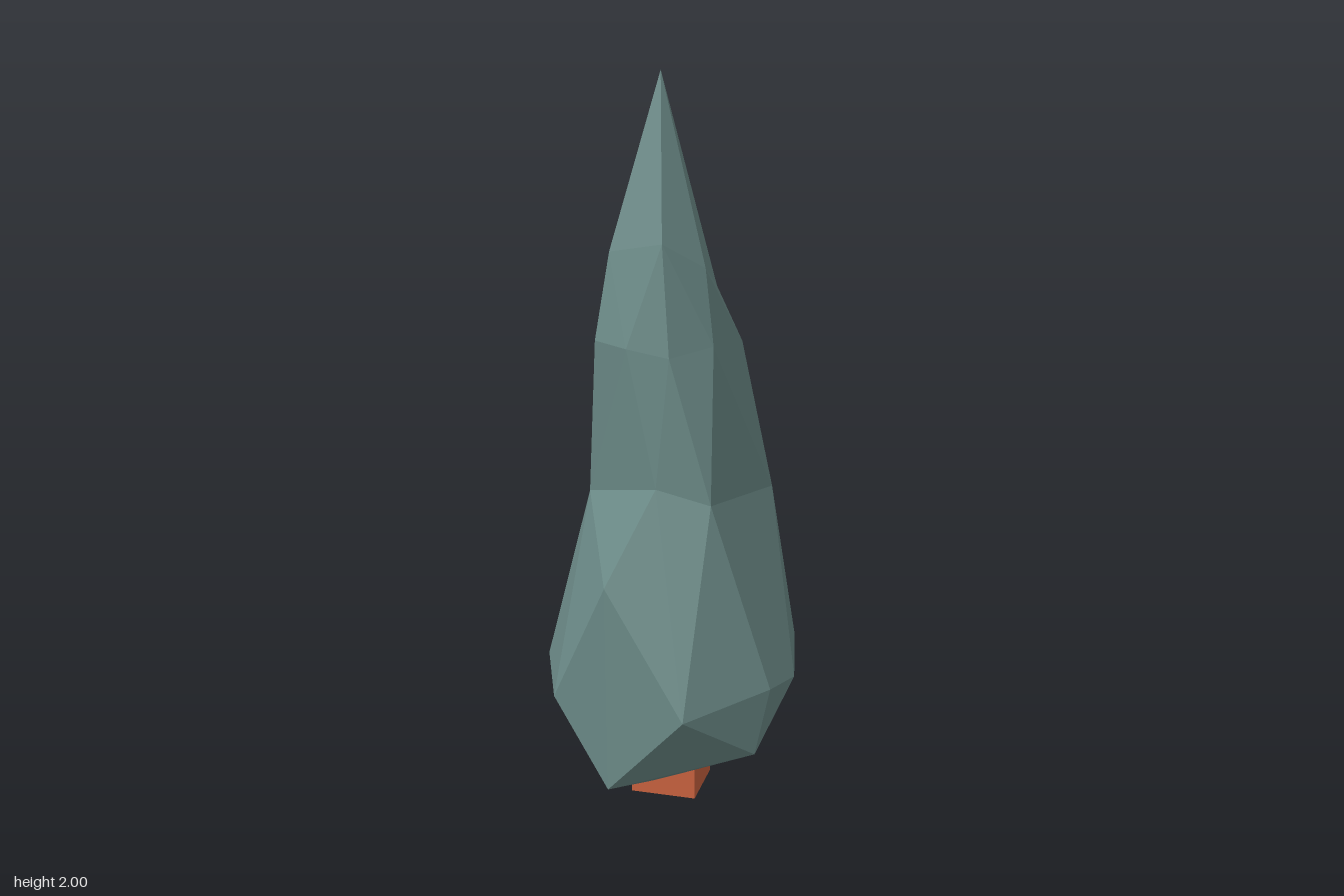
import * as THREE from 'three';

// Irregular foliage rings, bottom to top; each point is [x, y, z]
const RINGS = [
  [[-0.02, 0.035, 0.09]],
  [[0.275, 0.18, 0.148], [0.246, 0.21, -0.24], [-0.11, 0.18, -0.28], [-0.3, 0.16, 0.04], [-0.11, 0.08, 0.265]],
  [[0.355, 0.36, 0.005], [0.315, 0.4, -0.21], [0.1, 0.48, -0.337], [-0.135, 0.55, -0.32], [-0.265, 0.39, -0.163],
    [-0.355, 0.37, 0.043], [-0.27, 0.33, 0.243], [-0.11, 0.67, 0.28], [0.12, 0.335, 0.335], [0.315, 0.375, 0.145]],
  [[0.25, 0.86, -0.16], [0.205, 0.83, -0.29], [0.05, 0.89, -0.32], [-0.115, 0.83, -0.2], [-0.215, 0.87, -0.055],
    [-0.21, 0.88, 0.085], [0.01, 0.93, 0.2], [0.155, 0.89, 0.18]],
  [[0.17, 1.28, -0.11], [0.065, 1.26, -0.2], [-0.05, 1.31, -0.19], [-0.19, 1.4, 0.0], [-0.17, 1.31, 0.147],
    [-0.07, 1.3, 0.195], [0.045, 1.28, 0.195], [0.14, 1.3, 0.1]],
  [[0.1, 1.43, -0.1], [-0.055, 1.8, -0.07], [-0.14, 1.54, 0.11], [0.02, 1.57, 0.17], [0.11, 1.5, 0.07]],
  [[-0.025, 2, 0.018]],
];

// Sort a ring by angle around its own middle
function orderRing(points) {
  const n = points.length;
  const cx = points.reduce((s, p) => s + p[0], 0) / n;
  const cz = points.reduce((s, p) => s + p[2], 0) / n;
  return points
    .map((p) => ({ p, a: Math.atan2(p[2] - cz, p[0] - cx) }))
    .sort((u, v) => u.a - v.a);
}

// Stitch two rings with different point counts by walking round both
function stitch(lower, upper, out) {
  const steps = (r) => (r.length > 1 ? r.length : 0);
  const at = (r, i) => r[i % r.length].p;
  const angle = (r, i) => r[i % r.length].a + Math.floor(i / r.length) * Math.PI * 2;
  const mid = (r, i) => angle(r, i) + angle(r, i + 1);
  const nl = steps(lower), nu = steps(upper);
  let i = 0, j = 0;
  while (i < nl || j < nu) {
    const advanceLower = j >= nu || (i < nl && mid(lower, i) < mid(upper, j));
    const next = advanceLower ? at(lower, i + 1) : at(upper, j + 1);
    out.push(...at(lower, i), ...at(upper, j), ...next);
    if (advanceLower) i++; else j++;
  }
}

export function createModel() {
  const tree = new THREE.Group();
  tree.name = 'tree';

  // Faceted foliage
  const rings = RINGS.map(orderRing);
  const positions = [];
  for (let k = 0; k < rings.length - 1; k++) stitch(rings[k], rings[k + 1], positions);
  const geometry = new THREE.BufferGeometry();
  geometry.setAttribute('position', new THREE.Float32BufferAttribute(positions, 3));
  geometry.computeVertexNormals();
  const foliage = new THREE.Mesh(geometry, new THREE.MeshStandardMaterial({ color: 0x6b8a87, flatShading: true }));
  foliage.name = 'foliage';
  tree.add(foliage);

  // Short square trunk
  const trunk = new THREE.Mesh(
    new THREE.BoxGeometry(0.185, 0.16, 0.185),
    new THREE.MeshStandardMaterial({ color: 0xc8623f, flatShading: true }),
  );
  trunk.name = 'trunk';
  trunk.position.set(0.003, 0.08, 0.014);
  tree.add(trunk);

  return tree;
}
